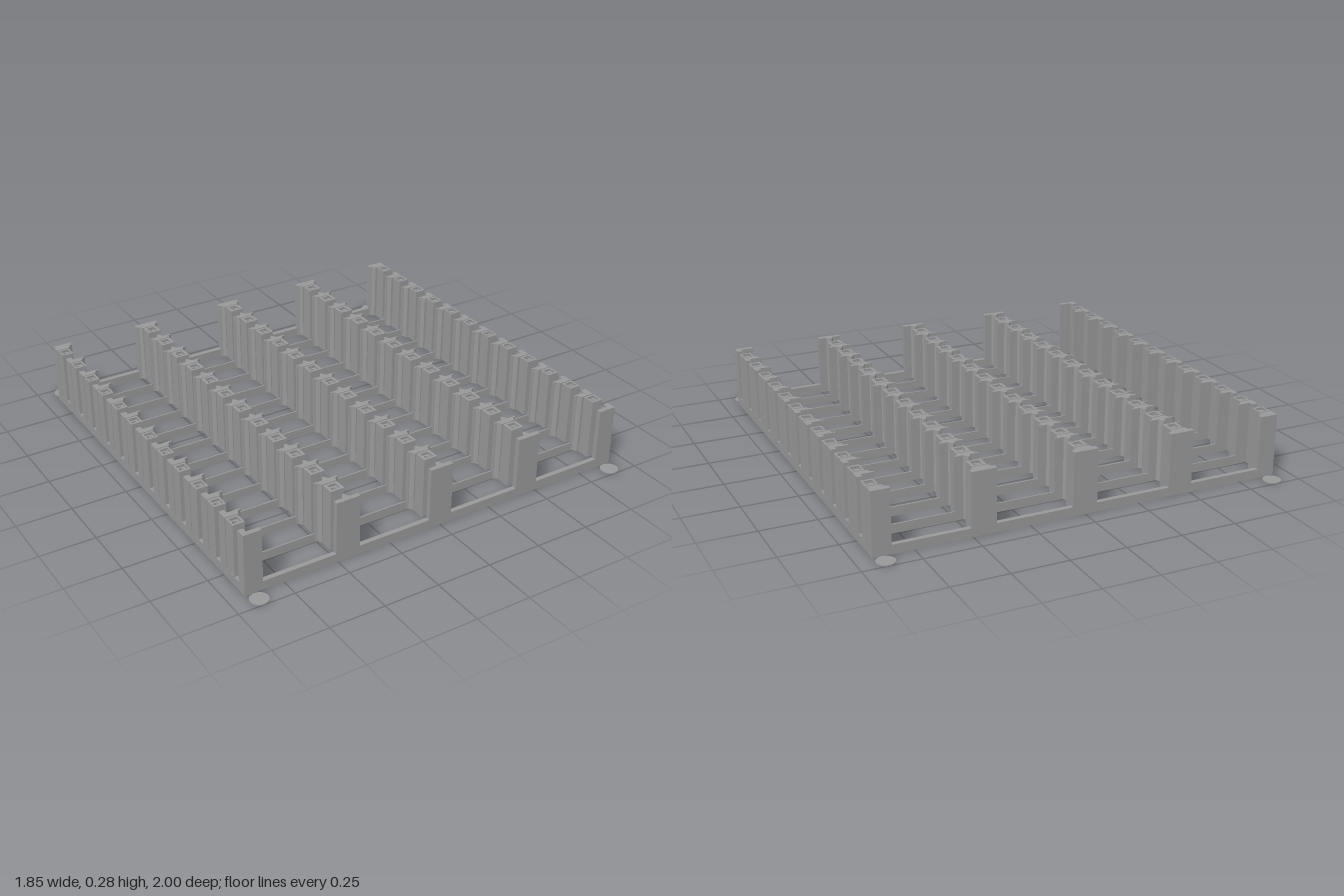
import * as THREE from 'three';

export function createModel() {
  const root = new THREE.Group();
  const grey = new THREE.MeshStandardMaterial({ color: 0x999999 });

  const PITCH = 0.149, Z0 = -0.894, ROWS = 12;
  const LOW = 0.04, TALL = 0.28, EDGE = 0.925, END = 0.914;
  const columns = [-0.898, -0.452, 0, 0.452, 0.898];
  const rowZ = (i) => Z0 + i * PITCH;

  const add = (name, geometry, x = 0, y = 0, z = 0, parent = root) => {
    const mesh = new THREE.Mesh(geometry, grey);
    mesh.name = name;
    mesh.position.set(x, y, z);
    parent.add(mesh);
    return mesh;
  };
  // box given by its x, y and z ranges
  const box = (name, x0, x1, y0, y1, z0, z1, parent) =>
    add(name, new THREE.BoxGeometry(x1 - x0, y1 - y0, z1 - z0),
      (x0 + x1) / 2, (y0 + y1) / 2, (z0 + z1) / 2, parent);
  // upright prism from a plan outline of [x, z] points, with an optional hole
  const prism = (points, height, hole) => {
    const shape = new THREE.Shape(points.map(([x, z]) => new THREE.Vector2(x, -z)));
    if (hole) shape.holes.push(hole);
    return new THREE.ExtrudeGeometry(shape, { depth: height, bevelEnabled: false, curveSegments: 8 })
      .rotateX(-Math.PI / 2);
  };
  const rect = (x, z) => [[-x, -z], [-x, z], [x, z], [x, -z]];

  // base frame
  for (const s of [-1, 1]) {
    const x = s * (EDGE - 0.0125), z = s * (END - 0.011);
    box('sideRail', x - 0.0125, x + 0.0125, 0, LOW, -END, END);
    box('endRail', -EDGE, EDGE, 0, LOW, z - 0.011, z + 0.011);
  }
  for (let i = 1; i < ROWS; i++)
    box('crossBar', -EDGE + 0.01, EDGE - 0.01, 0, LOW, rowZ(i) - 0.0035, rowZ(i) + 0.0035);
  for (const x of columns.slice(1, 4))
    box('lengthBar', x - 0.0035, x + 0.0035, 0, LOW, -END + 0.01, END - 0.01);

  // corner pads
  for (const sx of [-1, 1])
    for (const sz of [-1, 1])
      add('cornerPad', new THREE.CylinderGeometry(0.04, 0.04, 0.004, 32), sx * 0.887, 0.002, sz * 0.96);

  // half of the flared support outline
  const flare = [[0.055, -0.0035], [0.055, 0.003], [0.044, 0.006], [0.038, 0.012], [0.034, 0.025]];

  columns.forEach((x, c) => {
    const side = c === 0 ? -1 : c === 4 ? 1 : 0;
    const lo = side < 0 ? x + EDGE : 0.055;
    const hi = side > 0 ? EDGE - x : 0.055;
    const half = side ? 0.0265 : 0.032;
    const column = new THREE.Group();
    column.name = 'supportColumn';
    root.add(column);

    const outline = [
      ...flare.map(([fx, fz]) => [-Math.min(fx, lo), fz]),
      ...flare.slice().reverse().map(([fx, fz]) => [Math.min(fx, hi), fz]),
    ];
    const flangeGeo = prism(outline, TALL);
    const ribGeo = side
      ? prism([[-0.0125, -0.025], [-0.0125, 0], [0.0125, 0], [0.0125, -0.025]], TALL)
      : prism([[-0.004, -0.025], [-0.018, 0], [0.018, 0], [0.004, -0.025]], TALL);
    const ribX = side ? side * (EDGE - 0.0125) : x;

    // hollow post: square shell around a slightly lower bored core
    const pocket = new THREE.Path([[-0.019, -0.019], [0.019, -0.019], [0.019, 0.019], [-0.019, 0.019]]
      .map(([a, b]) => new THREE.Vector2(a, b)));
    const bore = new THREE.Path().absarc(0, 0, 0.012, 0, Math.PI * 2, true);
    const shellGeo = prism(rect(half, 0.029), TALL, pocket);
    const coreGeo = prism(rect(0.019, 0.019), TALL - 0.012, bore);

    for (let i = 0; i <= ROWS; i++) {
      const z = rowZ(i);
      if (i > 0) add('rearRib', ribGeo, ribX, 0, z, column);
      if (i === ROWS) continue;
      add('flaredSupport', flangeGeo, x, 0, z, column);
      add('postShell', shellGeo, x, 0, z + 0.059, column);
      add('postCore', coreGeo, x, 0, z + 0.059, column);
      // low web joining support and post
      box('postWeb', x - half, x + half, 0, LOW, z + 0.024, z + 0.031, column);
    }

    // full-height tabs on the end rails
    box('frontTab', x - lo, x + hi, 0, TALL, END - 0.022, END, column);
    box('backTab', x - lo, x + hi, 0, TALL, -END, -END + 0.022, column);
  });

  return root;
}
